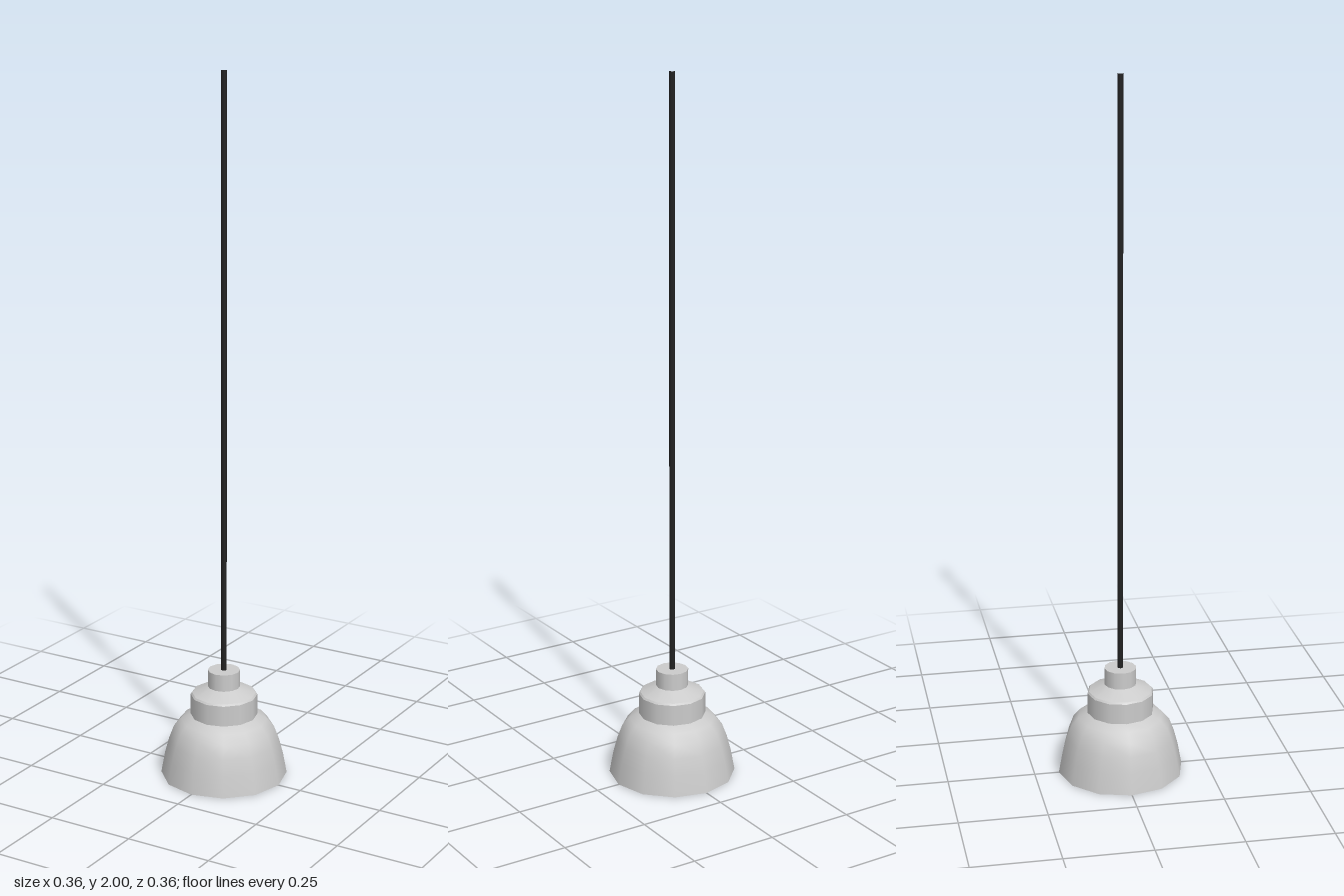
import * as THREE from 'three';

const SIDES = 12;

export function createModel() {
  const model = new THREE.Group();
  const grey = new THREE.MeshStandardMaterial({ color: 0xcccccc, side: THREE.DoubleSide });
  const dark = new THREE.MeshStandardMaterial({ color: 0x222222 });

  const add = (name, geometry, material, y = 0) => {
    const mesh = new THREE.Mesh(geometry, material);
    mesh.name = name;
    mesh.position.y = y;
    model.add(mesh);
  };

  // Each turned section is its own lathe, so edges between sections stay sharp
  const turned = (name, profile) => {
    const points = profile.map(([r, y]) => new THREE.Vector2(r, y));
    add(name, new THREE.LatheGeometry(points, SIDES), grey);
  };

  // Bell-shaped shade, open at the bottom
  turned('shade', [[0.18, 0], [0.169, 0.06], [0.157, 0.105], [0.143, 0.142], [0.122, 0.166], [0.095, 0.18]]);

  // Collar with a small bevel and sloping shoulder
  turned('collar', [[0.095, 0.18], [0.095, 0.24]]);
  turned('collarBevel', [[0.095, 0.24], [0.091, 0.245]]);
  turned('shoulder', [[0.091, 0.245], [0.046, 0.265]]);

  // Neck and its flat cap
  turned('neck', [[0.046, 0.265], [0.046, 0.314]]);
  turned('neckCap', [[0.046, 0.314], [0, 0.314]]);

  // Bulb socket hanging inside the shade
  add('socket', new THREE.CylinderGeometry(0.04, 0.04, 0.16, SIDES), dark, 0.17);

  // Hanging cord, open at its ends
  add('cord', new THREE.CylinderGeometry(0.008, 0.008, 1.69, 8, 1, true), dark, 1.155);

  return model;
}
